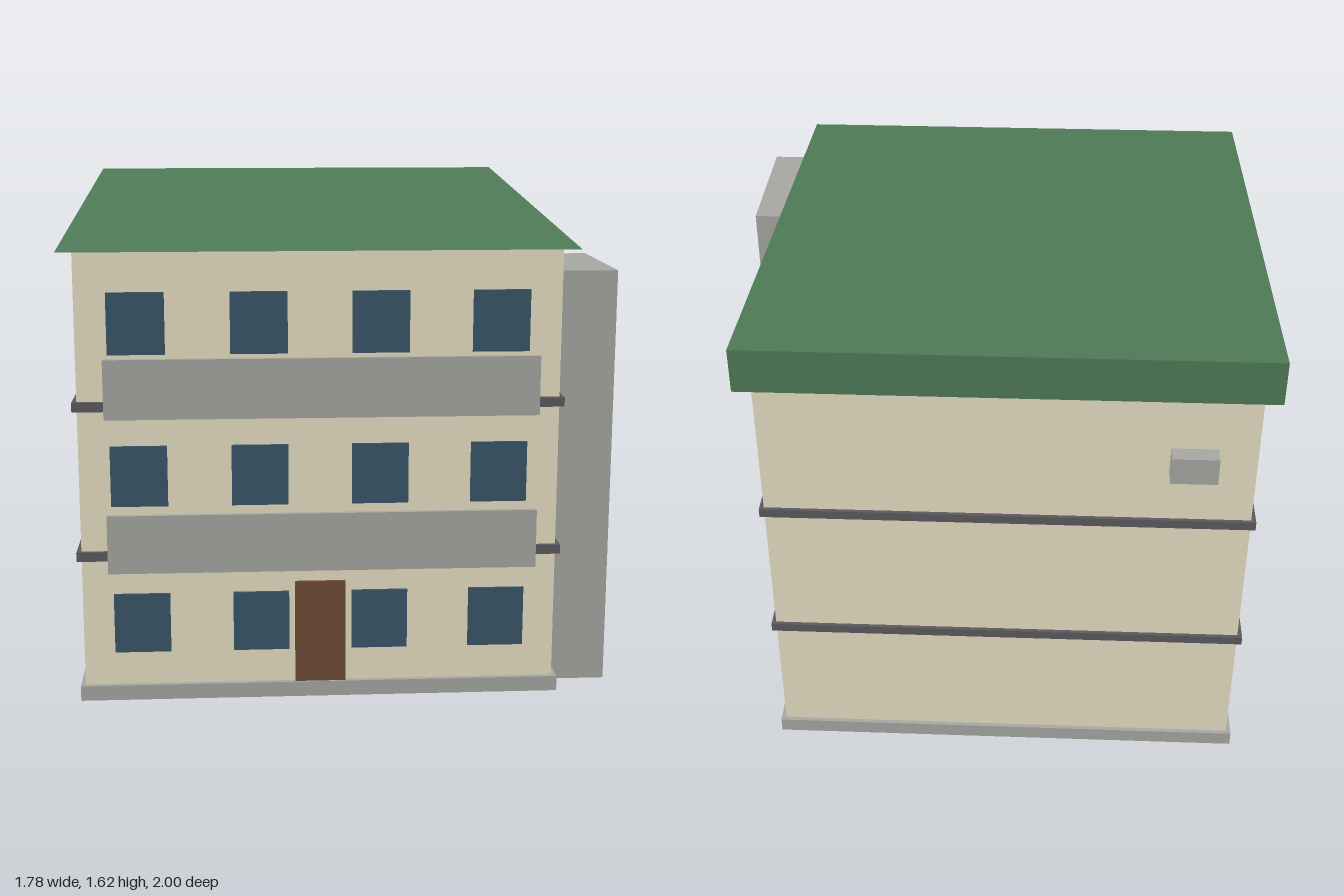
import * as THREE from 'three';

const mat = (name, color) => {
  const m = new THREE.MeshStandardMaterial({ color });
  m.name = name;
  return m;
};

export function createModel() {
  const wall = mat('sand plaster', 0xe5dcc1);
  const green = mat('green roof', 0x4e7a56);
  const grey = mat('concrete grey', 0xa5a5a1);
  const dark = mat('dark slab grey', 0x5a5a5e);
  const glass = mat('blue window', 0x3a5567);
  const wood = mat('brown door', 0x6d4c34);
  const magenta = mat('magenta underside', 0xe808e8);

  const model = new THREE.Group();
  model.name = 'apartmentBlock';

  // Box given by its min and max on each axis
  const box = (name, material, [x0, x1], [y0, y1], [z0, z1], parent = model) => {
    const mesh = new THREE.Mesh(new THREE.BoxGeometry(x1 - x0, y1 - y0, z1 - z0), material);
    mesh.position.set((x0 + x1) / 2, (y0 + y1) / 2, (z0 + z1) / 2);
    mesh.name = name;
    parent.add(mesh);
  };

  // Main body, plinth with a magenta bottom face, and the two floor bands
  box('walls', wall, [-0.842, 0.693], [0.03, 1.47], [-0.945, 0.822]);
  box('plinth', [grey, grey, grey, magenta, grey, grey], [-0.857, 0.709], [0, 0.05], [-0.959, 0.838]);
  for (const y of [0.473, 0.963]) {
    box('floorBand', dark, [-0.857, 0.707], [y, y + 0.03], [-0.957, 0.837]);
  }

  // Single-pitch wedge roof, rising to the back
  const wedge = new THREE.Shape();
  wedge.moveTo(-0.865, 1.469);
  wedge.lineTo(0.992, 1.469);
  wedge.lineTo(0.992, 1.616);
  wedge.closePath();
  const roofGeo = new THREE.ExtrudeGeometry(wedge, { depth: 1.632, bevelEnabled: false });
  roofGeo.rotateY(Math.PI / 2);
  roofGeo.translate(-0.89, 0, 0);
  const roof = new THREE.Mesh(roofGeo, green);
  roof.name = 'roof';
  model.add(roof);

  // Stair tower on the left side
  box('stairTower', grey, [0.69, 0.888], [0.001, 1.387], [0.249, 0.738]);

  // Balconies: floor slab and front parapet
  for (const y of [0.483, 0.972]) {
    const balcony = new THREE.Group();
    balcony.name = 'balcony';
    box('balconyFloor', grey, [-0.743, 0.595], [y, y + 0.022], [0.82, 0.99], balcony);
    box('balconyParapet', grey, [-0.743, 0.595], [y, y + 0.186], [0.986, 1], balcony);
    model.add(balcony);
  }

  // Windows on each floor: four in front, the rest on the sides
  for (const y of [0.162, 0.652, 1.143]) {
    const rows = [y, y + 0.197];
    for (const x of [-0.742, -0.357, 0.028, 0.41]) {
      box('frontWindow', glass, [x, x + 0.181], rows, [0.823, 0.832]);
    }
    box('leftWindow', glass, [0.694, 0.703], rows, [-0.583, -0.417]);
    for (const z of [-0.583, 0.3]) {
      box('rightWindow', glass, [-0.852, -0.843], rows, [z, z + 0.166]);
    }
  }

  // Entrance door and rear air unit
  box('door', wood, [-0.157, 0.007], [0.05, 0.392], [0.823, 0.832]);
  box('airUnit', grey, [-0.72, -0.575], [1.173, 1.266], [-1, -0.94]);

  return model;
}
